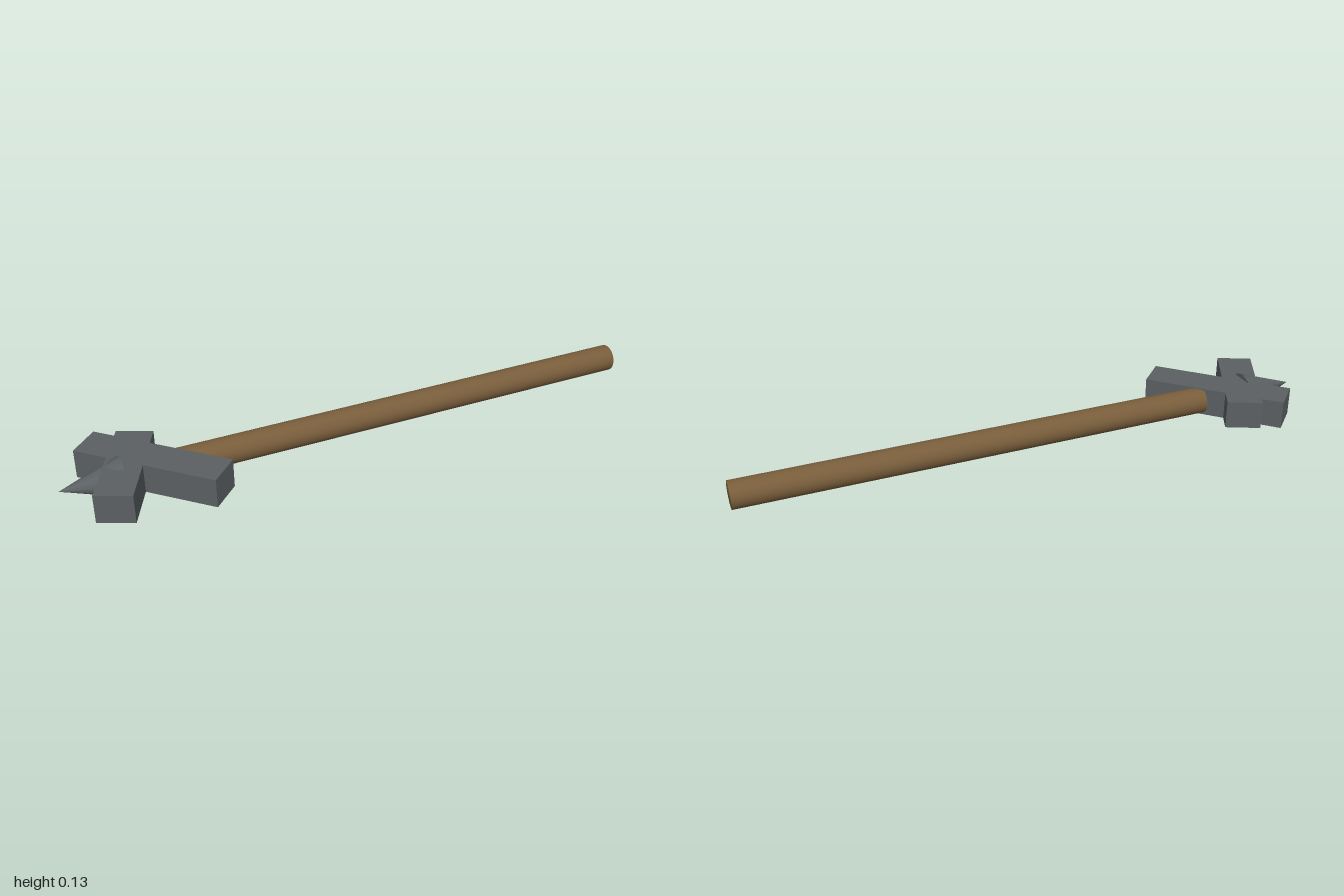
import * as THREE from 'three';

const AXIS_Y = 0.067;

export function createModel() {
  const group = new THREE.Group();
  const wood = new THREE.MeshStandardMaterial({ color: 0x785d3b });
  wood.name = 'brown wood';
  const iron = new THREE.MeshStandardMaterial({ color: 0x5b6063 });
  iron.name = 'grey iron';

  const add = (name, geometry, material, x) => {
    const mesh = new THREE.Mesh(geometry, material);
    mesh.name = name;
    mesh.position.set(x, AXIS_Y, 0);
    group.add(mesh);
    return mesh;
  };

  // Round handle, with shading running softly over its closed ends
  const start = -0.64, end = 1, radius = 0.046;
  const half = (end - start) / 2;
  const profile = [[0, -half], [radius, -half], [radius, half], [0, half]]
    .map(([r, y]) => new THREE.Vector2(r, y));
  add('handle', new THREE.LatheGeometry(profile, 32), wood, (start + end) / 2)
    .rotation.z = -Math.PI / 2;

  // Two crossed bars forming the head
  add('longHeadBar', new THREE.BoxGeometry(0.488, 0.098, 0.12), iron, -0.705)
    .rotation.y = -Math.PI / 4;
  add('shortHeadBar', new THREE.BoxGeometry(0.12, 0.097, 0.36), iron, -0.794)
    .rotation.y = -0.45;

  // Spike at the tip, slightly wider than the bars are thick
  add('tipSpike', new THREE.ConeGeometry(0.066, 0.195, 12), iron, -0.9025)
    .rotation.z = Math.PI / 2;

  return group;
}
